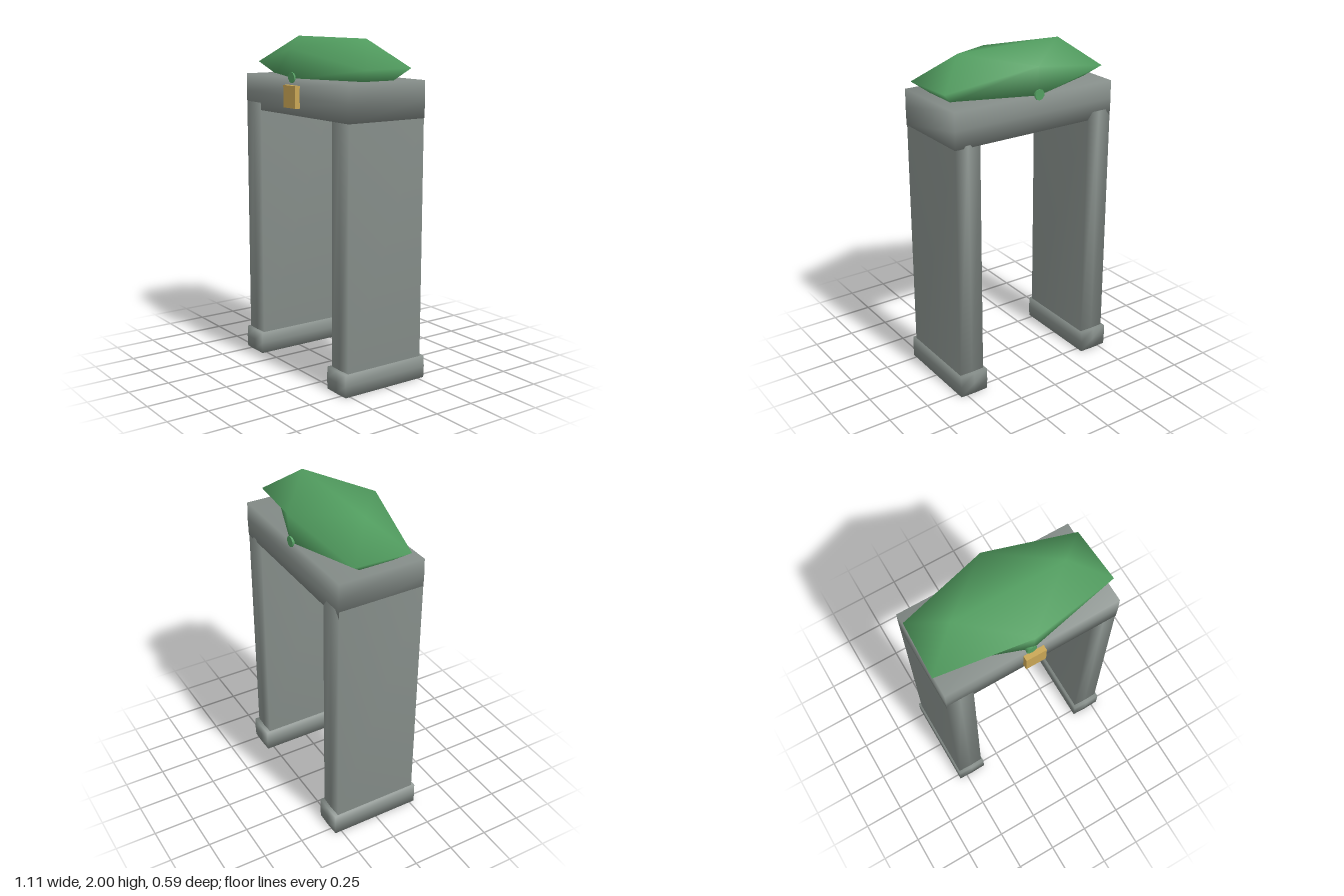
import * as THREE from 'three';
import { mergeVertices } from 'three/addons/utils/BufferGeometryUtils.js';

const material = (name, color) => {
  const m = new THREE.MeshStandardMaterial({ color });
  m.name = name;
  return m;
};

// Box from min to max corner, with smooth shared normals and a slight swell along its middle
function softBox([x0, y0, z0], [x1, y1, z1], sx, sy, swell = 0.003) {
  const w = x1 - x0, h = y1 - y0, d = z1 - z0;
  let g = new THREE.BoxGeometry(w, h, d, sx, sy, 1);
  g.deleteAttribute('normal');
  g.deleteAttribute('uv');
  g = mergeVertices(g);
  const p = g.attributes.position;
  for (let i = 0; i < p.count; i++) {
    const middle = (sx > 1 && Math.abs(p.getX(i)) < 1e-4) || (sy > 1 && Math.abs(p.getY(i)) < 1e-4);
    if (middle) p.setZ(i, p.getZ(i) + Math.sign(p.getZ(i)) * swell);
  }
  g.computeVertexNormals();
  g.translate((x0 + x1) / 2, (y0 + y1) / 2, (z0 + z1) / 2);
  return g;
}

// Faceted canopy: bottom ring, wide eave ring and a short ridge
function canopyGeometry() {
  const base = [[0.45, 0.1], [-0.01, 0.262], [-0.46, 0.1], [-0.46, -0.1], [-0.01, -0.27], [0.45, -0.1]];
  const eave = [[0.55, 0.16], [-0.01, 0.277], [-0.555, 0.165], [-0.54, -0.18], [-0.01, -0.285], [0.53, -0.17]];
  const eaveY = [1.84, 1.94, 1.84, 1.84, 1.94, 1.84];
  const points = [
    ...base.map(([x, z]) => [x, 1.765, z]),
    ...eave.map(([x, z], i) => [x, eaveY[i], z]),
    [0.34, 2, 0], [-0.35, 2, 0],
  ];
  const index = [];
  const R = 12, L = 13;
  for (let i = 0; i < 6; i++) {
    const j = (i + 1) % 6;
    index.push(i, i + 6, j, j, i + 6, j + 6);
    if (i > 0 && i < 5) index.push(0, i, (i + 1) % 6);
  }
  // Upper slopes, going round from the front right tip
  const ridgeOf = [R, L, L, L, R, R];
  for (let i = 0; i < 6; i++) index.push(6 + i, ridgeOf[i], 6 + (i + 1) % 6);
  index.push(7, R, L, 10, L, R);
  // Faces above are listed clockwise, so turn them outward
  for (let i = 0; i < index.length; i += 3) {
    const [a, b, c] = index.slice(i, i + 3).map((k) => new THREE.Vector3(...points[k]));
    const n = b.clone().sub(a).cross(c.clone().sub(a));
    const out = a.add(b).add(c).divideScalar(3).sub(new THREE.Vector3(0, 1.85, 0));
    if (n.dot(out) < 0) [index[i + 1], index[i + 2]] = [index[i + 2], index[i + 1]];
  }
  const g = new THREE.BufferGeometry();
  g.setAttribute('position', new THREE.Float32BufferAttribute(points.flat(), 3));
  g.setIndex(index);
  g.computeVertexNormals();
  return g;
}

export function createModel() {
  const stone = material('stone', 0x848c88);
  const foliage = material('green', 0x529e60);
  const gold = material('gold', 0xc9a655);
  const model = new THREE.Group();
  model.name = 'gateway';
  const add = (name, geometry, mat) => {
    const mesh = new THREE.Mesh(geometry, mat);
    mesh.name = name;
    model.add(mesh);
  };

  // Pillars and their footings
  add('rightPillar', softBox([-0.54, 0.1, -0.27], [-0.375, 1.6, 0.262], 2, 1), stone);
  add('leftPillar', softBox([0.37, 0.1, -0.268], [0.53, 1.57, 0.258], 2, 1), stone);
  add('rightFooting', softBox([-0.55, 0, -0.292], [-0.367, 0.135, 0.28], 2, 2), stone);
  add('leftFooting', softBox([0.358, 0, -0.292], [0.54, 0.135, 0.28], 2, 2), stone);

  // Lintel
  add('lintel', softBox([-0.54, 1.555, -0.27], [0.532, 1.77, 0.261], 1, 2), stone);

  // Canopy with a small rib showing beneath it at front and back
  add('canopy', canopyGeometry(), foliage);
  const rib = new THREE.CylinderGeometry(0.032, 0.032, 0.55, 10);
  rib.rotateX(Math.PI / 2).translate(-0.02, 1.774, -0.004);
  add('canopyRib', rib, foliage);

  // Front plaque
  const plaque = new THREE.BoxGeometry(0.125, 0.13, 0.05);
  plaque.translate(-0.005, 1.665, 0.27);
  add('plaque', plaque, gold);

  return model;
}
